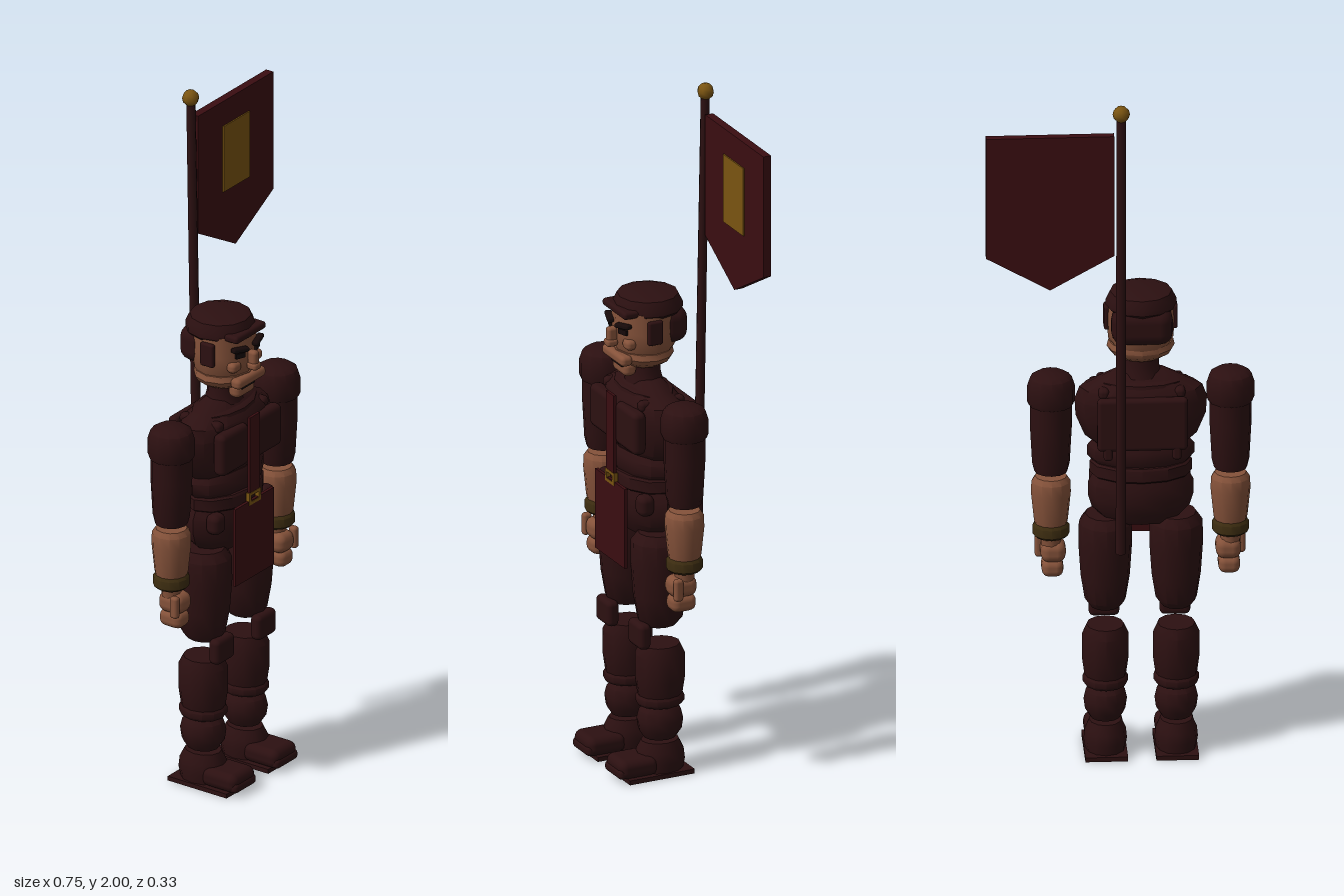
import * as THREE from 'three';
import { toCreasedNormals } from 'three/addons/utils/BufferGeometryUtils.js';
import { RoundedBoxGeometry } from 'three/addons/geometries/RoundedBoxGeometry.js';

const material = (name, color) => Object.assign(new THREE.MeshStandardMaterial({ color }), { name });

export function createModel() {
  const cloth = material('dark cloth', 0x2c1011);
  const red = material('red cloth', 0x3a0d11);
  const skin = material('skin', 0x85523a);
  const gold = material('gold', 0x7a5411);
  const bronze = material('bronze', 0x3c2c10);
  const ink = material('dark features', 0x160909);

  const add = (parent, name, geometry, mat, x = 0, y = 0, z = 0) => {
    const mesh = new THREE.Mesh(geometry, mat);
    mesh.name = name;
    mesh.position.set(x, y, z);
    parent.add(mesh);
    return mesh;
  };
  const box = (parent, name, mat, w, h, d, x, y, z) =>
    add(parent, name, new THREE.BoxGeometry(w, h, d), mat, x, y, z);
  const pad = (parent, name, mat, w, h, d, x, y, z) =>
    add(parent, name, new RoundedBoxGeometry(w, h, d, 2, Math.min(w, h, d) * 0.4), mat, x, y, z);
  // Closed turned form from [radius, y] pairs, bottom to top; depth flattens it in z
  const turned = (parent, name, mat, profile, depth = 1, x = 0, z = 0, sides = 12) => {
    const [first, last] = [profile[0], profile[profile.length - 1]];
    const points = [[0, first[1]], ...profile, [0, last[1]]].map(p => new THREE.Vector2(...p));
    const geometry = new THREE.LatheGeometry(points, sides);
    geometry.scale(1, 1, depth);
    return add(parent, name, toCreasedNormals(geometry, 0.7), mat, x, 0, z);
  };

  const model = new THREE.Group();
  model.name = 'standardBearer';
  const body = new THREE.Group();
  body.name = 'body';
  body.position.set(-0.063, 0, 0.017);
  model.add(body);

  // Torso
  turned(body, 'chest', cloth, [[0.13, 0.93], [0.155, 0.95], [0.18, 1.01], [0.183, 1.06],
    [0.17, 1.095], [0.12, 1.12], [0.07, 1.145]], 0.5);
  turned(body, 'collar', cloth, [[0.115, 1.095], [0.125, 1.105], [0.12, 1.118], [0.1, 1.125]], 0.58);
  turned(body, 'upperWaist', cloth, [[0.135, 0.875], [0.148, 0.89], [0.148, 0.92], [0.13, 0.94]], 0.57);
  turned(body, 'belt', cloth, [[0.135, 0.835], [0.142, 0.84], [0.142, 0.872], [0.135, 0.878]], 0.65);
  turned(body, 'hips', cloth, [[0.1, 0.7], [0.135, 0.735], [0.146, 0.77], [0.146, 0.81], [0.132, 0.838]], 0.58);
  pad(body, 'backPlate', cloth, 0.25, 0.155, 0.03, 0, 1.015, -0.088);
  for (const s of [-1, 1]) {
    pad(body, 'chestPlate', cloth, 0.125, 0.125, 0.04, s * 0.078, 1.025, 0.08);
    pad(body, 'shoulderStrap', cloth, 0.03, 0.03, 0.14, s * 0.105, 1.095, 0);
    pad(body, 'backStrap', cloth, 0.025, 0.18, 0.02, s * 0.095, 1.0, -0.092);
    pad(body, 'beltPouch', cloth, 0.05, 0.06, 0.045, s * 0.115, 0.805, 0.055);
  }

  // Tabard, hanging down the front through the belt
  box(body, 'tabardStrip', red, 0.048, 0.23, 0.008, 0, 0.99, 0.101);
  box(body, 'tabard', red, 0.18, 0.235, 0.009, 0, 0.733, 0.1);
  for (const s of [-1, 1]) {
    box(body, 'buckleSide', gold, 0.01, 0.036, 0.012, s * 0.022, 0.857, 0.1);
    box(body, 'buckleBar', gold, 0.054, 0.009, 0.012, 0, 0.857 + s * 0.014, 0.1);
  }

  // Neck and head
  turned(body, 'neck', cloth, [[0.058, 1.13], [0.05, 1.16], [0.05, 1.2]], 0.9);
  const head = new THREE.Group();
  head.name = 'head';
  body.add(head);
  turned(head, 'face', skin, [[0.075, 1.215], [0.09, 1.24], [0.094, 1.29], [0.092, 1.35]], 0.95);
  turned(head, 'jaw', skin, [[0.06, 1.185], [0.085, 1.2], [0.094, 1.215], [0.09, 1.232]], 0.9, 0, 0.004);
  pad(head, 'chin', skin, 0.085, 0.042, 0.04, 0, 1.18, 0.06);
  pad(head, 'moustache', skin, 0.13, 0.03, 0.035, 0, 1.215, 0.082);
  box(head, 'mouth', ink, 0.06, 0.01, 0.008, 0, 1.194, 0.08);
  turned(head, 'cap', cloth, [[0.088, 1.335], [0.098, 1.345], [0.098, 1.36], [0.086, 1.385], [0.06, 1.393]],
    0.99, 0, -0.012);
  pad(head, 'capPeak', cloth, 0.14, 0.022, 0.05, 0, 1.352, 0.07);
  pad(head, 'backHair', cloth, 0.17, 0.105, 0.09, 0, 1.3, -0.06);
  pad(head, 'nose', skin, 0.024, 0.055, 0.03, 0, 1.275, 0.1);
  pad(head, 'noseTip', skin, 0.032, 0.022, 0.034, 0, 1.257, 0.102);
  for (const s of [-1, 1]) {
    const brow = pad(head, 'eyebrow', ink, 0.055, 0.014, 0.02, s * 0.042, 1.315, 0.085);
    brow.rotation.set(0, s * 0.3, s * 0.12);
    box(head, 'eye', ink, 0.03, 0.015, 0.008, s * 0.04, 1.297, 0.084).rotation.y = s * 0.35;
    pad(head, 'cheek', skin, 0.04, 0.03, 0.03, s * 0.05, 1.262, 0.07);
    pad(head, 'sideburn', cloth, 0.016, 0.07, 0.045, s * 0.094, 1.3, 0.012);
  }

  for (const s of [-1, 1]) {
    // Arms
    const arm = new THREE.Group();
    arm.name = s > 0 ? 'leftArm' : 'rightArm';
    arm.position.x = s * 0.248;
    body.add(arm);
    turned(arm, 'shoulder', cloth, [[0.062, 1.045], [0.066, 1.055], [0.066, 1.1], [0.058, 1.125], [0.04, 1.137]]);
    turned(arm, 'upperArm', cloth, [[0.046, 0.845], [0.052, 0.87], [0.058, 0.98], [0.058, 1.06]]);
    turned(arm, 'forearm', skin, [[0.04, 0.67], [0.047, 0.7], [0.055, 0.78], [0.054, 0.815], [0.044, 0.83]]);
    turned(arm, 'bracelet', bronze, [[0.042, 0.65], [0.051, 0.658], [0.051, 0.683], [0.044, 0.692]]);
    turned(arm, 'wrist', skin, [[0.026, 0.615], [0.03, 0.66]]);
    pad(arm, 'palm', skin, 0.07, 0.06, 0.08, -s * 0.006, 0.605, 0.008);
    pad(arm, 'fist', skin, 0.06, 0.05, 0.075, -s * 0.004, 0.557, 0.008);
    pad(arm, 'thumb', skin, 0.022, 0.065, 0.026, s * 0.032, 0.607, 0.035);

    // Legs
    const leg = new THREE.Group();
    leg.name = s > 0 ? 'leftLeg' : 'rightLeg';
    leg.position.x = s * 0.098;
    body.add(leg);
    turned(leg, 'thigh', cloth, [[0.042, 0.44], [0.057, 0.46], [0.068, 0.53], [0.074, 0.62], [0.073, 0.69],
      [0.055, 0.715]], 1.13);
    pad(leg, 'kneePad', cloth, 0.085, 0.075, 0.036, 0, 0.42, 0.063);
    turned(leg, 'shin', cloth, [[0.05, 0.205], [0.056, 0.22], [0.064, 0.28], [0.064, 0.355], [0.052, 0.382]], 1.1);
    turned(leg, 'bootCuff', cloth, [[0.057, 0.205], [0.063, 0.213], [0.063, 0.228], [0.057, 0.236]], 1.1);
    turned(leg, 'ankle', cloth, [[0.042, 0.107], [0.056, 0.13], [0.06, 0.16], [0.054, 0.187], [0.042, 0.2]], 1.1);
    turned(leg, 'boot', cloth, [[0.055, 0.01], [0.06, 0.04], [0.057, 0.07], [0.045, 0.098]], 1.2);
    pad(leg, 'toe', cloth, 0.108, 0.056, 0.12, 0, 0.038, 0.085);
    box(leg, 'sole', cloth, 0.118, 0.013, 0.2, 0, 0.0065, 0.022);
    pad(leg, 'toeCap', cloth, 0.1, 0.03, 0.045, 0, 0.028, 0.126);
  }

  // Banner pole leaning slightly back, with its finial
  const banner = new THREE.Group();
  banner.name = 'banner';
  model.add(banner);
  const pole = add(banner, 'pole', new THREE.CylinderGeometry(0.013, 0.014, 1.31, 8), cloth, 0, 1.303, -0.129);
  pole.rotation.x = -0.018;
  add(banner, 'finial', new THREE.SphereGeometry(0.024, 8, 6), gold, 0, 1.976, -0.142);

  // Pointed flag with a plain gold panel on the front
  const outline = [[0.02, 1.915], [0.02, 1.557], [0.197, 1.458], [0.374, 1.557], [0.374, 1.915]];
  const flag = new THREE.Shape(outline.map(p => new THREE.Vector2(...p)));
  add(banner, 'flag', new THREE.ExtrudeGeometry(flag, { depth: 0.024, bevelEnabled: false }), red, 0, 0, -0.155);
  box(banner, 'flagPanel', gold, 0.122, 0.2, 0.004, 0.197, 1.74, -0.129);

  return model;
}
